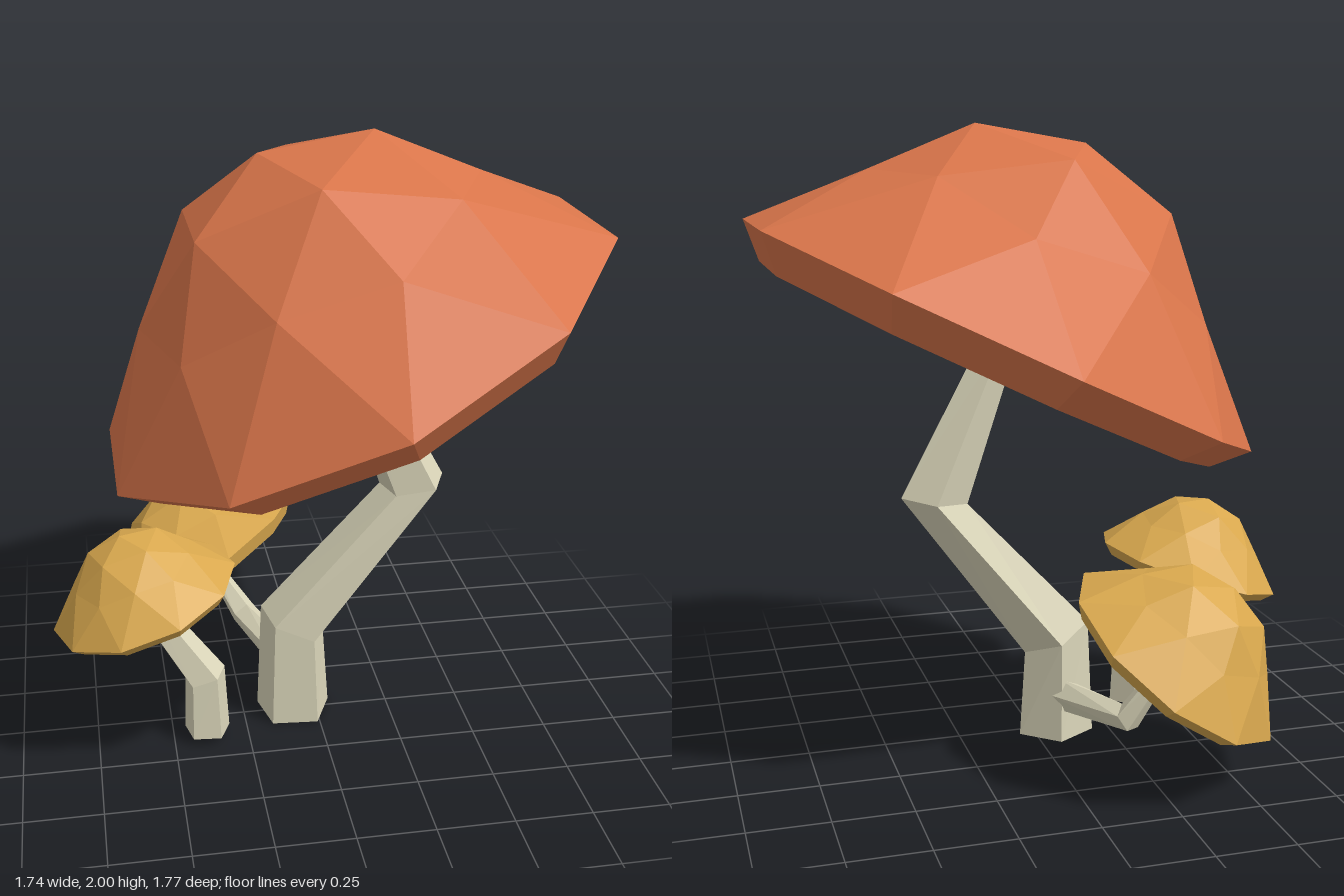
import * as THREE from 'three';

const material = (color) => new THREE.MeshStandardMaterial({ color, flatShading: true });
const V = (a) => new THREE.Vector3(...a);
const RIM = 0.886; // rim radius of a cap at scale 1

// Upper half of a subdivided icosahedron, flared out at its equator
function domeGeometry() {
  const radius = 0.664;
  const ico = new THREE.IcosahedronGeometry(radius, 1);
  ico.rotateZ(-Math.atan(2 / (1 + Math.sqrt(5)))); // one corner points straight up
  const p = ico.attributes.position;
  const out = [];
  for (let i = 0; i < p.count; i += 3) {
    const tri = [0, 1, 2].map((k) => new THREE.Vector3().fromBufferAttribute(p, i + k));
    if (tri.some((v) => v.y < -0.01)) continue;
    for (const v of tri) {
      const flare = v.y < 0.01 ? RIM / radius : 1;
      out.push(v.x * flare, v.y, v.z * flare);
    }
  }
  const geometry = new THREE.BufferGeometry();
  geometry.setAttribute('position', new THREE.Float32BufferAttribute(out, 3));
  geometry.computeVertexNormals();
  return geometry;
}

// Slanted lip below the rim and the recessed underside
function lipGeometry() {
  const profile = [[0, -0.035], [0.785, -0.035], [0.785, -0.1], [RIM, 0]];
  const geometry = new THREE.LatheGeometry(profile.map(([r, y]) => new THREE.Vector2(r, y)), 10).toNonIndexed();
  geometry.computeVertexNormals();
  return geometry;
}

// Cap placed by rim centre, rim radius, upward axis and the direction of its local x
function makeCap(name, mat, { center, radius, up, side }) {
  const cap = new THREE.Group();
  cap.name = name;
  const dome = new THREE.Mesh(domeGeometry(), mat);
  dome.name = name + 'Dome';
  const lip = new THREE.Mesh(lipGeometry(), mat);
  lip.name = name + 'Underside';
  cap.add(dome, lip);

  const y = V(up).normalize();
  const z = V(side).cross(y).normalize();
  const x = y.clone().cross(z);
  cap.quaternion.setFromRotationMatrix(new THREE.Matrix4().makeBasis(x, y, z));
  cap.position.copy(V(center));
  cap.scale.setScalar(radius / RIM);
  return cap;
}

// Five-sided bent stem through sections of [centre, radius, plane normal]
function makeStem(name, mat, sections) {
  const sides = 5;
  const start = THREE.MathUtils.degToRad(-13);
  const pos = [];
  const index = [];
  for (const [center, radius, normal] of sections) {
    const q = new THREE.Quaternion().setFromUnitVectors(V([0, 1, 0]), V(normal).normalize());
    for (let i = 0; i < sides; i++) {
      const a = start + (i / sides) * Math.PI * 2;
      const v = V([Math.cos(a) * radius, 0, Math.sin(a) * radius]).applyQuaternion(q).add(V(center));
      pos.push(v.x, v.y, v.z);
    }
  }
  const last = (sections.length - 1) * sides;
  for (let row = 0; row < last; row += sides) {
    for (let i = 0; i < sides; i++) {
      const a = row + i;
      const b = row + ((i + 1) % sides);
      index.push(b, a, a + sides, b, a + sides, b + sides);
    }
  }
  // End faces
  for (let i = 1; i < sides - 1; i++) {
    index.push(0, i, i + 1, last, last + i + 1, last + i);
  }
  let geometry = new THREE.BufferGeometry();
  geometry.setAttribute('position', new THREE.Float32BufferAttribute(pos, 3));
  geometry.setIndex(index);
  geometry = geometry.toNonIndexed();
  geometry.computeVertexNormals();
  const mesh = new THREE.Mesh(geometry, mat);
  mesh.name = name;
  return mesh;
}

export function createModel() {
  const model = new THREE.Group();
  model.name = 'mushrooms';
  const orange = material(0xd9754a);
  const yellow = material(0xd9a84e);
  const cream = material(0xdad5b9);

  // Large mushroom
  model.add(
    makeCap('largeCap', orange, { center: [0.11, 1.34, 0], radius: RIM, up: [-0.432, 0.902, 0], side: [0.902, 0.432, 0] }),
    makeStem('largeStem', cream, [
      [[-0.075, 0, -0.01], 0.13, [0, 1, 0]],
      [[-0.075, 0.335, -0.01], 0.122, [0.41, 0.91, 0]],
      [[0.33, 0.825, -0.01], 0.112, [-0.13, 0.99, 0]],
      [[0.108, 1.325, -0.003], 0.06, [-0.42, 0.91, 0]],
    ])
  );

  // Small front mushroom
  model.add(
    makeCap('frontCap', yellow, { center: [-0.575, 0.515, 0.06], radius: 0.314, up: [-0.306, 0.952, 0], side: [0.905, 0.291, -0.309] }),
    makeStem('frontStem', cream, [
      [[-0.388, 0.025, 0.118], 0.078, [0, 1, 0]],
      [[-0.39, 0.23, 0.112], 0.072, [-0.3, 0.95, -0.05]],
      [[-0.582, 0.51, 0.06], 0.045, [-0.4, 0.9, -0.1]],
    ])
  );

  // Small back mushroom, branching off the large stem
  model.add(
    makeCap('backCap', yellow, { center: [-0.337, 0.385, -0.448], radius: 0.384, up: [-0.53, 0.8, -0.28], side: [0.827, 0.442, -0.347] }),
    makeStem('backStem', cream, [
      [[-0.08, 0.145, -0.07], 0.055, [-0.33, 0.1, -0.93]],
      [[-0.2, 0.175, -0.4], 0.047, [-0.45, 0.5, -0.6]],
      [[-0.318, 0.375, -0.455], 0.023, [-0.53, 0.8, -0.28]],
    ])
  );

  return model;
}
